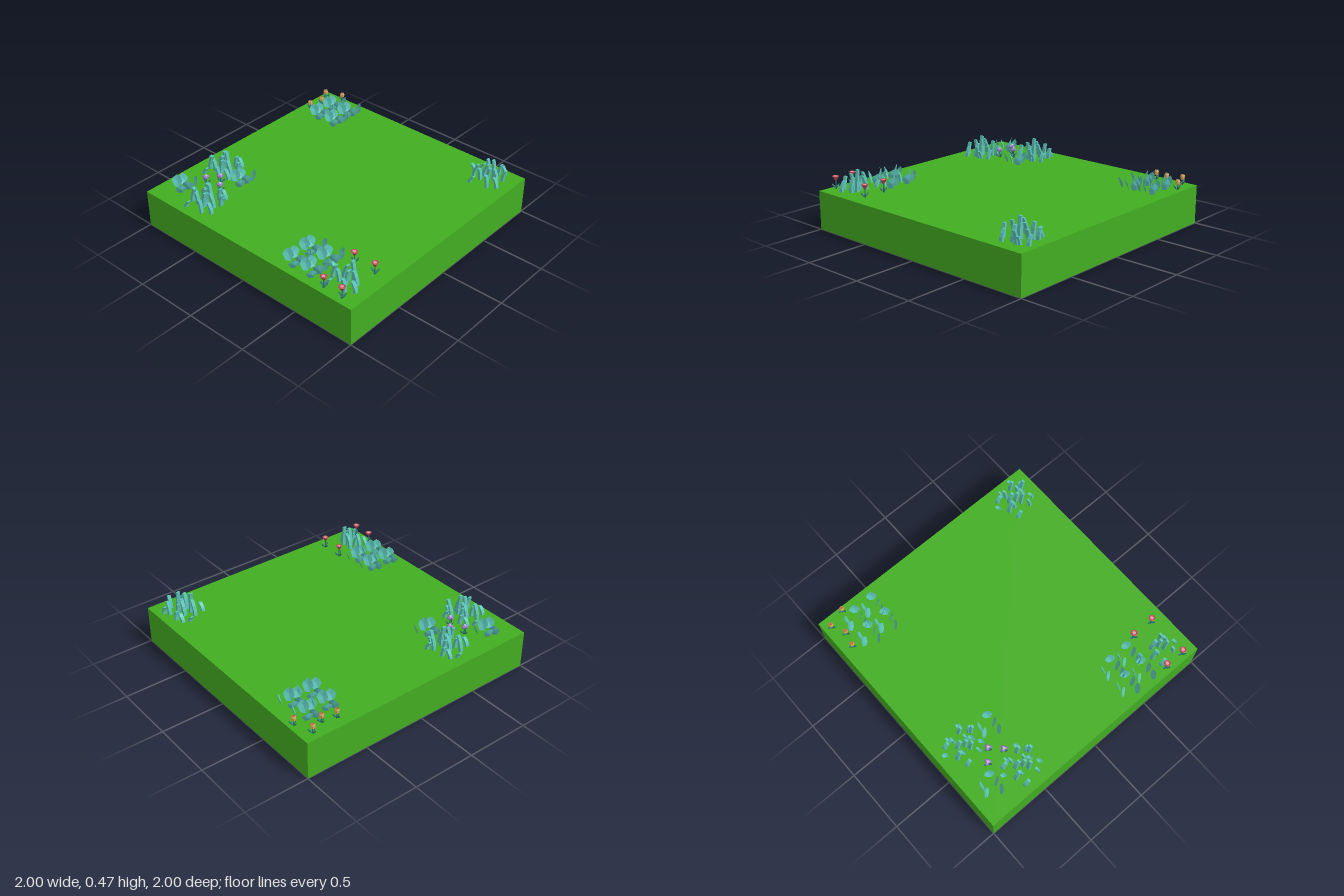
import * as THREE from 'three';

const mat = (color, side = THREE.FrontSide) =>
  new THREE.MeshStandardMaterial({ color, side, flatShading: true });
const GROUND = 0.3;
const soil = mat(0x42ad21);
const teal = mat(0x5cc4b8, THREE.DoubleSide);
const darkTeal = mat(0x2f7f7a, THREE.DoubleSide);

function add(parent, name, geometry, material, x = 0, y = 0, z = 0) {
  const mesh = new THREE.Mesh(geometry, material);
  mesh.name = name;
  mesh.position.set(x, y, z);
  parent.add(mesh);
  return mesh;
}

function group(parent, name, x = 0, y = 0, z = 0) {
  const g = new THREE.Group();
  g.name = name;
  g.position.set(x, y, z);
  parent.add(g);
  return g;
}

// Broad pointed leaf, folded along its midrib and leaning towards +z
function leafGeometry(w, h, lean) {
  const a = [-w * 0.22, 0, 0], b = [w * 0.22, 0, 0];
  const l = [-w / 2, h * 0.5, lean * 0.35], r = [w / 2, h * 0.5, lean * 0.35];
  const m = [0, h * 0.45, lean * 0.8];
  const sl = [-w * 0.36, h * 0.76, lean * 0.75], sr = [w * 0.36, h * 0.76, lean * 0.75];
  const tip = [0, h, lean];
  const faces = [a, b, m, a, m, l, b, r, m, l, m, sl, m, r, sr, sl, m, tip, m, sr, tip];
  const geo = new THREE.BufferGeometry();
  geo.setAttribute('position', new THREE.Float32BufferAttribute(faces.flat(), 3));
  geo.computeVertexNormals();
  return geo;
}

// Slim grass blade that bends sideways as it rises
function bladeGeometry(h, lean) {
  const geo = new THREE.BoxGeometry(0.02, h, 0.027, 1, 3, 1).translate(0, h / 2, 0);
  const p = geo.attributes.position;
  for (let i = 0; i < p.count; i++) {
    const t = p.getY(i) / h;
    p.setX(i, p.getX(i) * (1 - 0.2 * t) + lean * t * t);
  }
  geo.computeVertexNormals();
  return geo;
}

// Grass clump: x, z, height of each blade
const BLADES = [
  [-0.05, -0.09, 0.08], [0.04, -0.09, 0.1], [0.08, -0.12, 0.07], [-0.11, -0.07, 0.06],
  [-0.03, -0.06, 0.12], [0.11, -0.04, 0.1], [-0.13, -0.02, 0.05], [-0.04, -0.01, 0.11],
  [0.05, -0.01, 0.17], [0.01, 0.01, 0.1], [0.09, 0.01, 0.11], [-0.09, 0.05, 0.12],
  [-0.03, 0.05, 0.09], [0.03, 0.05, 0.13], [0.13, 0.07, 0.08], [-0.07, 0.13, 0.06],
  [0.07, 0.11, 0.1], [0.1, -0.06, 0.06],
];

function grassClump(parent, x, z, minZ = -1) {
  const g = group(parent, 'grassClump', x, GROUND, z);
  BLADES.forEach(([bx, bz, h], i) => {
    if (bz < minZ) return;
    add(g, 'grassBlade', bladeGeometry(h, (i % 2 ? 1 : -1) * (0.015 + 0.006 * (i % 4))), teal, bx, 0, bz);
  });
}

// Leafy plant: x, z, turn and height of each leaf
const LEAVES = [
  [0.04, -0.06, Math.PI - 0.5, 0.09], [-0.04, -0.03, -1.9, 0.085], [0.04, -0.005, 0.7, 0.1],
  [-0.05, 0.03, Math.PI + 0.6, 0.095], [0.03, 0.06, 1.0, 0.085],
];

function leafyPlant(parent, x, z) {
  const g = group(parent, 'leafyPlant', x, GROUND, z);
  for (const [lx, lz, turn, h] of LEAVES) {
    add(g, 'broadLeaf', leafGeometry(0.08, h, 0.028), teal, lx, 0, lz).rotation.y = turn;
  }
}

// Flower with stem, base leaves and a head made by makeHead
function flower(parent, name, x, z, height, makeHead) {
  const g = group(parent, name, x, GROUND, z);
  add(g, 'stem', new THREE.CylinderGeometry(0.004, 0.006, height, 5), darkTeal, 0, height / 2, 0);
  for (let i = 0; i < 3; i++) {
    const leaf = add(g, 'stemLeaf', leafGeometry(0.018, 0.04, 0.034), darkTeal);
    leaf.rotation.y = (i * Math.PI * 2) / 3 + 0.5;
  }
  makeHead(g, height);
}

const lathe = (profile, sides) =>
  new THREE.LatheGeometry(profile.map(([r, y]) => new THREE.Vector2(r, y)), sides);

const tan = mat(0xd9a860, THREE.DoubleSide), orange = mat(0xc8643c);
const red = mat(0xb84a58, THREE.DoubleSide), pink = mat(0xe59aa5);
const purple = mat(0x9a78c8, THREE.DoubleSide), lilac = mat(0xc9b4ea);

// Upright cup
function cupHead(g, y) {
  add(g, 'cup', lathe([[0.004, -0.01], [0.017, 0], [0.019, 0.022], [0.014, 0.034]], 6), tan, 0, y, 0);
  add(g, 'cupCentre', new THREE.CylinderGeometry(0.013, 0.01, 0.02, 6), orange, 0, y + 0.018, 0);
}

// Wide funnel
function funnelHead(g, y) {
  add(g, 'funnel', lathe([[0.005, -0.015], [0.014, 0], [0.027, 0.02], [0.021, 0.023], [0, 0.014]], 8), red, 0, y, 0);
  add(g, 'funnelCentre', new THREE.CylinderGeometry(0.013, 0.01, 0.01, 8), pink, 0, y + 0.016, 0);
}

// Round three-petalled bloom
function bloomHead(g, y) {
  for (let i = 0; i < 3; i++) {
    const a = (i * Math.PI * 2) / 3 + Math.PI / 6;
    const petal = add(g, 'petal', new THREE.IcosahedronGeometry(0.016), purple, Math.cos(a) * 0.012, y, Math.sin(a) * 0.012);
    petal.scale.y = 0.85;
  }
  add(g, 'bloomCentre', new THREE.IcosahedronGeometry(0.013), lilac, 0, y + 0.01, 0);
}

export function createModel() {
  const model = new THREE.Group();
  model.name = 'gardenTile';
  add(model, 'grassSlab', new THREE.BoxGeometry(2, GROUND, 2), soil, 0, GROUND / 2, 0);

  // Grass in three corners
  grassClump(model, 0.78, -0.82);
  grassClump(model, -0.79, 0.42);
  grassClump(model, -0.57, 0.8);
  grassClump(model, 0.78, 0.78, -0.03);

  // Leafy plants: two square beds and two single plants
  for (const [cx, cz] of [[-0.695, -0.75], [0.48, 0.79]]) {
    for (const sx of [-0.08, 0.08]) {
      for (const sz of [-0.08, 0.08]) leafyPlant(model, cx + sx, cz + sz);
    }
  }
  leafyPlant(model, -0.56, 0.44);
  leafyPlant(model, -0.83, 0.78);

  // Flowers
  for (const [x, z] of [[-0.94, -0.91], [-0.8, -0.96], [-0.89, -0.8], [-0.915, -0.69]])
    flower(model, 'cupFlower', x, z, 0.046, cupHead);
  for (const [x, z] of [[0.7, 0.62], [0.88, 0.62], [0.72, 0.95], [0.88, 0.95]])
    flower(model, 'funnelFlower', x, z, 0.078, funnelHead);
  for (const [x, z] of [[-0.67, 0.56], [-0.74, 0.64], [-0.59, 0.64]])
    flower(model, 'bloomFlower', x, z, 0.066, bloomHead);
  return model;
}
